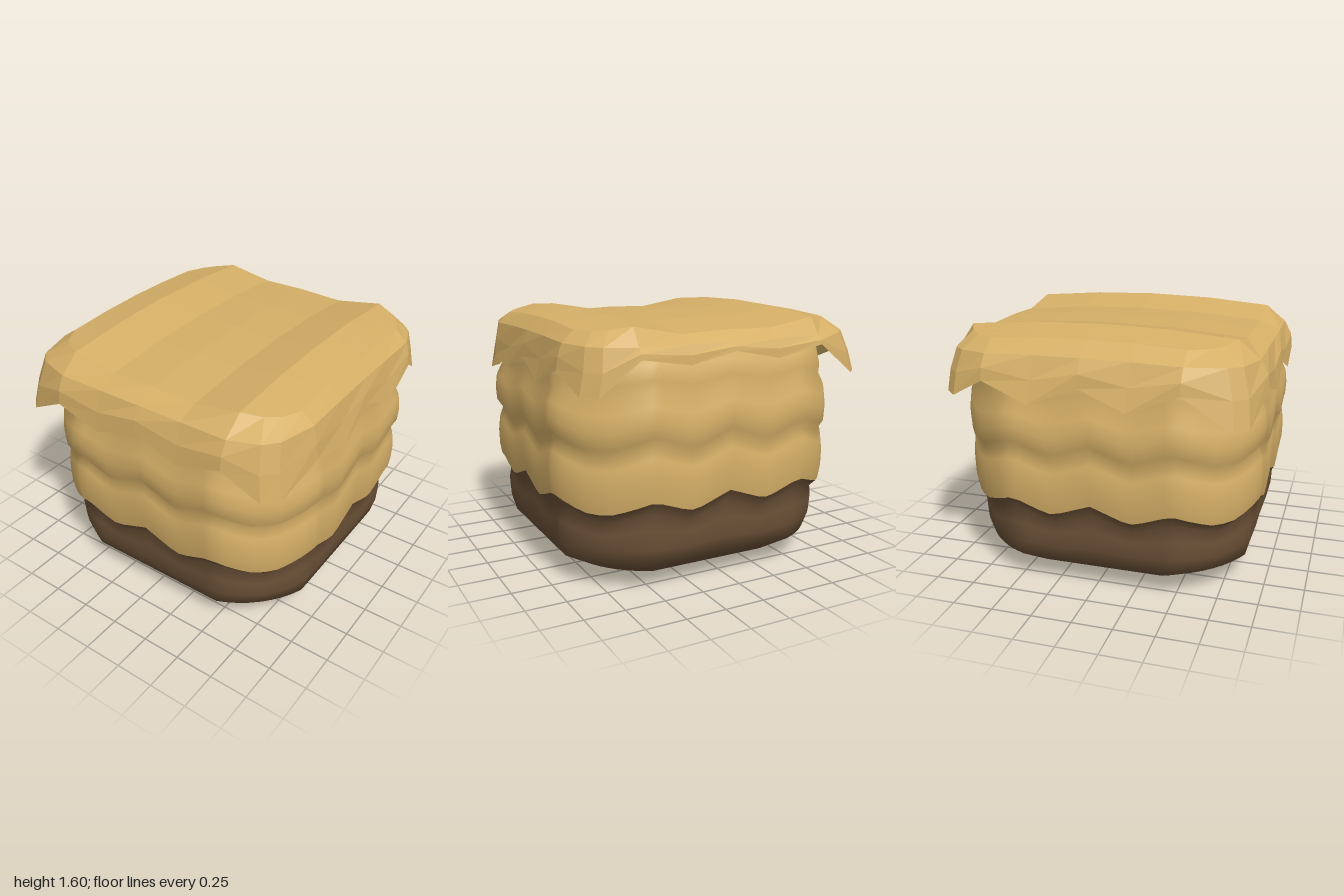
import * as THREE from 'three';

const straw = new THREE.MeshStandardMaterial({ color: 0xd5af67, side: THREE.DoubleSide });
straw.name = 'straw';
const brown = new THREE.MeshStandardMaterial({ color: 0x6b5137 });
brown.name = 'dark brown';

// Skins a stack of rings; closed rings wrap round, open rows do not
function skin(rings, closed) {
  const n = rings[0].length, pos = rings.flat(2), index = [];
  for (let j = 0; j < rings.length - 1; j++) {
    for (let i = 0; i < (closed ? n : n - 1); i++) {
      const a = j * n + i, b = j * n + (i + 1) % n;
      index.push(a, b, b + n, a, b + n, a + n);
    }
  }
  const g = new THREE.BufferGeometry();
  g.setAttribute('position', new THREE.Float32BufferAttribute(pos, 3));
  g.setIndex(index);
  g.computeVertexNormals();
  return g;
}

function flat(g) {
  const f = g.toNonIndexed();
  f.computeVertexNormals();
  return f;
}

function mesh(name, geometry, material) {
  const m = new THREE.Mesh(geometry, material);
  m.name = name;
  return m;
}

// Triangle wave along a side: 1 at 0 and +-0.5, -1 between and at the corners
function zigzag(t) {
  const p = Math.min(Math.abs(t), 0.75) % 0.5;
  return Math.max(-0.8, Math.abs(p - 0.25) * 8 - 1);
}

// Square ring with softly chamfered corners, whose height follows the zigzag
function bodyRing([y, half, amp]) {
  const r = 0.45 * half, k = half - r, ring = [], cz = 0.035;
  for (let side = 0; side < 4; side++) {
    const local = [];
    for (let i = 0; i < 16; i++) local.push([-k + 2 * k * i / 16, half]);
    for (let i = 0; i < 8; i++) {
      const t = i / 8, a = t * Math.PI / 2;
      local.push([k + r * (Math.sin(a) + t) / 2, k + r * (Math.cos(a) + 1 - t) / 2]);
    }
    const c = [1, 0, -1, 0][side], s = [0, 1, 0, -1][side];
    for (const [u, v] of local) {
      const wave = zigzag(Math.min(Math.abs(u), Math.abs(v)));
      ring.push([u * c + v * s, y + amp * wave, v * c - u * s + cz]);
    }
  }
  return ring;
}

// Closed end of the body: all points meet at the centre
function capRing(y) {
  return bodyRing([y, 0.001, 0]);
}

function lerpTable(table, v) {
  for (let i = 1; i < table.length; i++) {
    const [a, p] = table[i - 1], [b, q] = table[i];
    if (v <= b) return p + (q - p) * (v - a) / (b - a);
  }
  return table[table.length - 1][1];
}

// Ridged top: two ridges running across, slightly crowned sideways
const ridges = [[-1, 1.555], [-0.71, 1.6], [-0.35, 1.55], [0, 1.555], [0.35, 1.545], [0.71, 1.6], [1, 1.55]];
const topY = (u, v) => lerpTable(ridges, v) - 0.045 * u * u;
const stations = [-0.71, -0.35, 0, 0.35, 0.71];
const corners = [[0.85, 0.93], [0.93, 0.85]];

// Cover outline: five stations and two corner points per side, with hem heights
function coverOutline() {
  const sides = [
    { hems: [1.25, 1.2, 1.31, 1.2, 1.31], corner: 1.19, tuck: 0.02 },  // front
    { hems: [1.39, 1.34, 1.4, 1.34, 1.4], corner: 1.2, tuck: 0 },      // left
    { hems: [1.31, 1.2, 1.31, 1.2, 1.31], corner: 1.12, tuck: 0.035 }, // back
    { hems: [1.28, 1.2, 1.3, 1.2, 1.28], corner: 1.12, tuck: 0.01 },   // right
  ];
  const out = [];
  sides.forEach(({ hems, corner, tuck }, side) => {
    const c = [1, 0, -1, 0][side], s = [0, 1, 0, -1][side];
    const add = (u, v, hem, inset, isCorner) =>
      out.push({ u: u * c + v * s, v: v * c - u * s, hem, inset, isCorner, alongX: side % 2 === 0 });
    stations.forEach((u, i) => add(u, 1, hems[i], i % 2 ? 0 : tuck, false));
    corners.forEach(([u, v]) => add(u, v, corner, 0, true));
  });
  return out;
}

// One ring of the cover; stations keep their place so the folds hang straight
function coverRing(outline, [x0, x1, z0, z1], height, tucked) {
  return outline.map((p) => {
    const t = tucked ? 1 - p.inset : 1;
    let x = (x0 + x1) / 2 + p.u * (x1 - x0) / 2 * t;
    let z = (z0 + z1) / 2 + p.v * (z1 - z0) / 2 * t;
    if (!p.isCorner && p.alongX) x = 0.04 + 0.83 * p.u;
    if (!p.isCorner && !p.alongX) z = 0.035 + 0.835 * p.v;
    return [x, height(p), z];
  });
}

export function createModel() {
  const model = new THREE.Group();

  // Dark base, flaring out under the first layer
  const seam = [0.53, 0.94, 0.045];
  const base = [[0.05, 0.7, 0], [0.16, 0.865, 0], [0.26, 0.893, 0.01], [0.37, 0.9, 0.025], [0.45, 0.885, 0.04], seam];
  model.add(mesh('base', skin([capRing(0), ...base.map(bodyRing)], true), brown));

  // Wavy stacked layers
  const layers = [seam, [0.6, 0.95, 0.045], [0.7, 0.952, 0.045], [0.79, 0.942, 0.045], [0.85, 0.922, 0.045],
    [0.91, 0.955, 0.045], [1.0, 0.96, 0.04], [1.09, 0.95, 0.035], [1.17, 0.915, 0.03], [1.24, 0.92, 0.025],
    [1.34, 0.9, 0.01], [1.42, 0.84, 0]];
  model.add(mesh('layers', skin([...layers.map(bodyRing), capRing(1.44)], true), straw));

  // Draped cover: skirt with a zigzag hem
  const outline = coverOutline();
  const shoulder = (p) => 1.47 - 0.02 * p.u * p.u;
  const skirt = [
    coverRing(outline, [-0.985, 0.98, -1, 1], (p) => p.hem, true),
    coverRing(outline, [-0.965, 0.975, -0.955, 0.97], (p) => (shoulder(p) + p.hem) / 2, false),
    coverRing(outline, [-0.92, 0.945, -0.905, 0.945], shoulder, false),
    coverRing(outline, [-0.79, 0.87, -0.8, 0.87], (p) => topY(p.u, p.v), false),
  ];
  model.add(mesh('coverSkirt', flat(skin(skirt, true)), straw));

  // Draped cover: ridged top, narrowed at the corners
  const ends = [[1, 0.71], [0.93, 0.85], [0.85, 0.93]];
  const rows = [...ends, ...[...stations].reverse().map((v) => [v, 1]), ...[...ends].reverse().map(([v, h]) => [-v, h])];
  const top = rows.map(([v, half]) => stations.map((s) => {
    const u = s / 0.71 * half;
    return [0.04 + 0.83 * u, topY(u, v), 0.035 + 0.835 * v];
  }));
  model.add(mesh('coverTop', flat(skin(top, false)), straw));

  return model;
}
